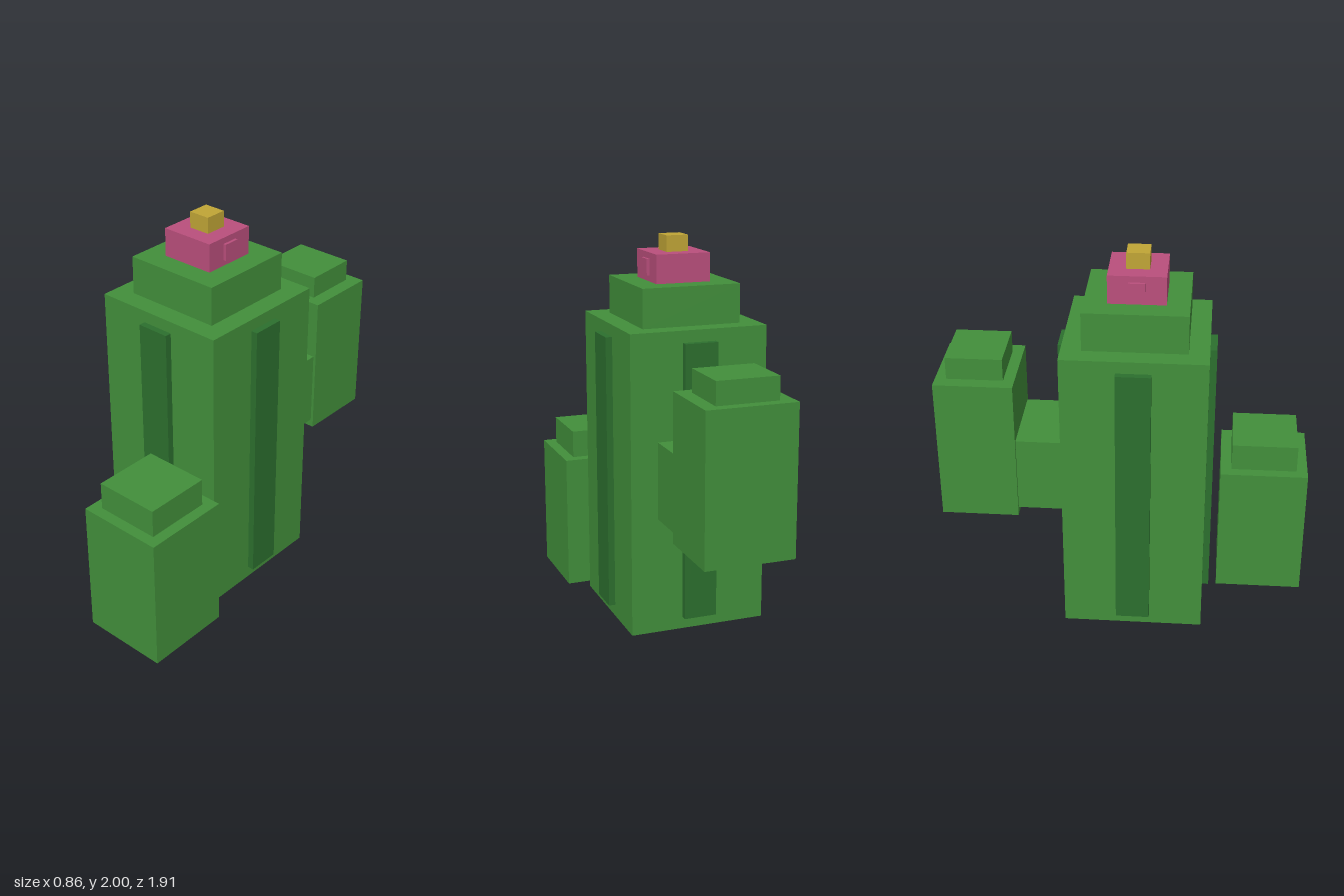
import * as THREE from 'three';

function material(name, color) {
  const m = new THREE.MeshStandardMaterial({ color });
  m.name = name;
  return m;
}

export function createModel() {
  const green = material('cactus green', 0x428f3b);
  const darkGreen = material('rib green', 0x2c6f2e);
  const pink = material('flower pink', 0xba4f7c);
  const yellow = material('flower yellow', 0xc0a536);

  const model = new THREE.Group();
  model.name = 'cactus';

  // Box with its base at height y, centred on x and z
  function block(parent, name, mat, [w, h, d], [x, y, z]) {
    const mesh = new THREE.Mesh(new THREE.BoxGeometry(w, h, d), mat);
    mesh.name = name;
    mesh.position.set(x, y + h / 2, z);
    parent.add(mesh);
  }
  function part(name, x, z) {
    const g = new THREE.Group();
    g.name = name;
    g.position.set(x, 0, z);
    model.add(g);
    return g;
  }

  // Main trunk with its stepped top
  const trunk = part('trunk', -0.035, 0.057);
  block(trunk, 'trunkBody', green, [0.725, 1.57, 0.725], [0, 0, 0]);
  block(trunk, 'trunkCap', green, [0.52, 0.2, 0.52], [0, 1.57, 0]);

  // One raised rib on each side of the trunk
  for (let i = 0; i < 4; i++) {
    const side = new THREE.Group();
    side.name = 'ribSide' + (i + 1);
    side.rotation.y = i * Math.PI / 2;
    block(side, 'rib', darkGreen, [0.175, 1.445, 0.07], [0, 0.063, 0.362]);
    trunk.add(side);
  }

  // Flower with side petals and a yellow centre
  const flower = part('flower', -0.035, 0.058);
  block(flower, 'flowerBody', pink, [0.288, 0.147, 0.288], [0, 1.77, 0]);
  block(flower, 'sidePetals', pink, [0.318, 0.085, 0.085], [0, 1.8, 0]);
  block(flower, 'flowerCentre', yellow, [0.115, 0.083, 0.115], [0, 1.917, 0]);

  // Rear arm: horizontal joint, upright and cap
  const arm = part('rearArm', -0.033, -0.755);
  block(arm, 'armJoint', green, [0.435, 0.403, 0.3], [0, 0.612, 0.33]);
  block(arm, 'armUpright', green, [0.465, 0.763, 0.402], [0, 0.57, 0]);
  block(arm, 'armCap', green, [0.32, 0.117, 0.288], [0, 1.333, 0]);

  // Small separate cactus in front
  const sprout = part('smallCactus', 0.198, 0.727);
  block(sprout, 'smallBody', green, [0.462, 0.725, 0.462], [0, 0, 0]);
  block(sprout, 'smallCap', green, [0.346, 0.147, 0.346], [0, 0.725, 0]);

  return model;
}
